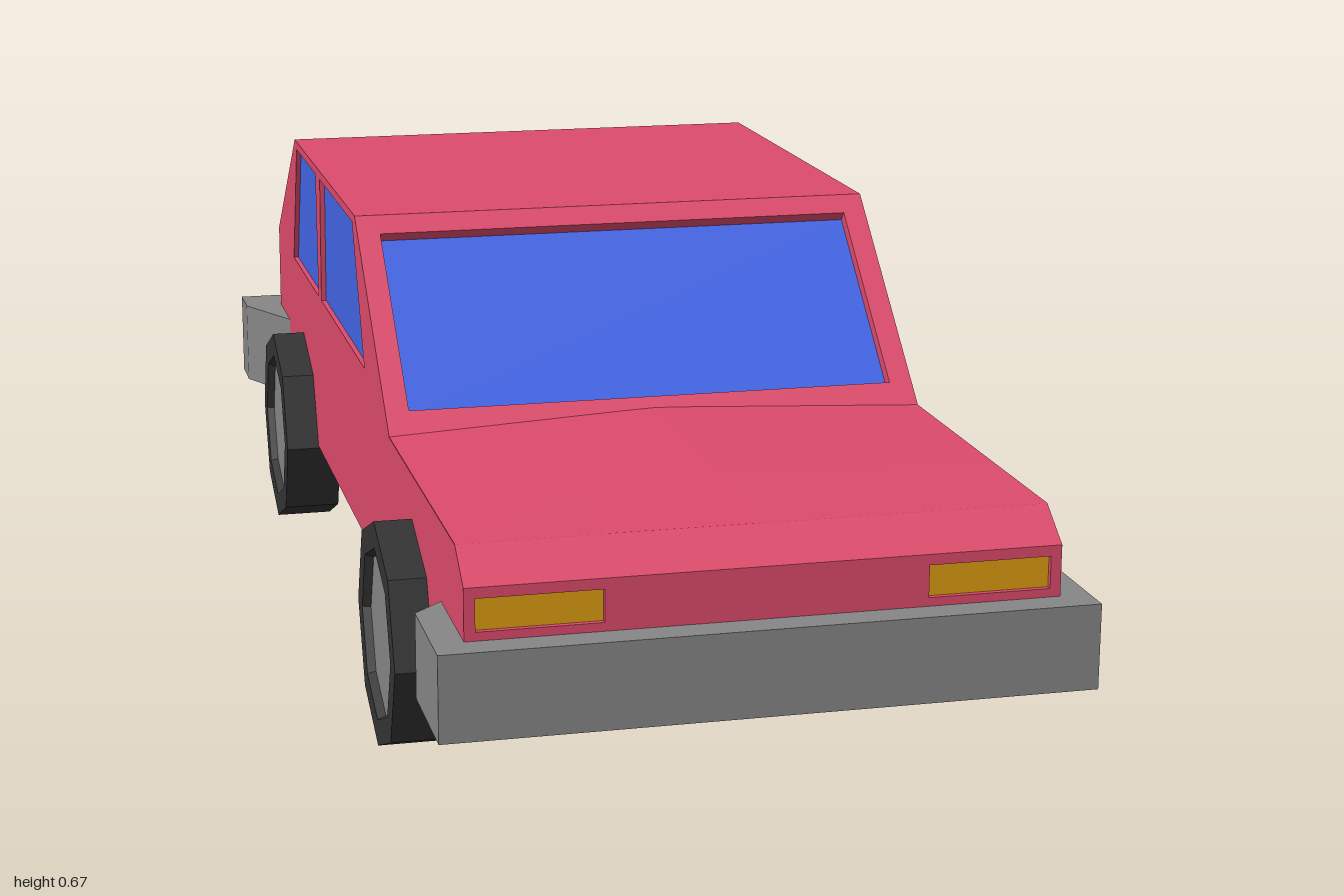
import * as THREE from 'three';

const mat = (color) => new THREE.MeshStandardMaterial({ color, flatShading: true });
const paint = mat(0xdd4b6c), glass = mat(0x4264e4), amber = mat(0xdd9c10), red = mat(0xbb1408);
const grey = mat(0x868686), rubber = mat(0x333333);

const HALF = 0.405;  // half width of the body
const SKIN = 0.01;   // thickness of the side skins

const toShape = (pts) => new THREE.Shape(pts.map(([a, b]) => new THREE.Vector2(a, b)));

function add(parent, name, geometry, material) {
  const mesh = new THREE.Mesh(geometry, material);
  mesh.name = name;
  parent.add(mesh);
  return mesh;
}

// Extrudes a side profile of [z, y] points across x, from x0 to x1
function sideExtrude(shape, x0, x1) {
  const g = new THREE.ExtrudeGeometry(shape, { depth: x1 - x0, bevelEnabled: false });
  return g.rotateY(-Math.PI / 2).translate(x1, 0, 0);
}

// A body panel rising from a to b ([z, y]), with recessed openings [x0, x1, y0, y1]
function makePanel(name, a, b, depth, facing, openings, fillName, fillMaterial) {
  const length = Math.hypot(b[0] - a[0], b[1] - a[1]);
  const up = new THREE.Vector3(0, (b[1] - a[1]) / length, (b[0] - a[0]) / length);
  const across = new THREE.Vector3(facing, 0, 0);
  const normal = across.clone().cross(up);
  const inner = ([z, y]) => [z - normal.z * depth, y - normal.y * depth];
  const start = inner(a);

  const group = new THREE.Group();
  group.name = name;
  const w = HALF - SKIN;
  const shape = toShape([[-w, 0], [w, 0], [w, length], [-w, length]]);
  for (const [x0, x1, y0, y1] of openings) {
    const s0 = (y0 - a[1]) / up.y, s1 = (y1 - a[1]) / up.y;
    shape.holes.push(toShape([[x0, s0], [x0, s1], [x1, s1], [x1, s0]]));
    const pane = add(group, fillName, new THREE.PlaneGeometry(x1 - x0, s1 - s0), fillMaterial);
    pane.position.set((x0 + x1) / 2, (s0 + s1) / 2, 0.002);
  }
  add(group, name + 'Frame', new THREE.ExtrudeGeometry(shape, { depth, bevelEnabled: false }), paint);
  group.applyMatrix4(new THREE.Matrix4().makeBasis(across, up, normal).setPosition(0, start[1], start[0]));
  // Notch that seats the panel in the core, listed from bottom to top
  return { group, notch: [a, start, inner(b), b] };
}

function makeWheel() {
  const wheel = new THREE.Group();
  wheel.name = 'wheel';
  const profile = [[0, -0.046], [0.167, -0.046], [0.167, 0.046], [0.128, 0.046], [0.122, 0.034]];
  add(wheel, 'tire', new THREE.LatheGeometry(profile.map(([r, y]) => new THREE.Vector2(r, y)), 8), rubber);
  const hub = [[0.124, 0.034], [0, 0.034]];
  add(wheel, 'hub', new THREE.LatheGeometry(hub.map(([r, y]) => new THREE.Vector2(r, y)), 8), grey);
  return wheel;
}

// Bumper from half of its plan outline ([x, z]), mirrored
function makeBumper(half, y0, y1) {
  const plan = [...half, ...half.map(([x, z]) => [-x, z]).reverse()];
  const shape = toShape(plan.map(([x, z]) => [x, -z]));
  const g = new THREE.ExtrudeGeometry(shape, { depth: y1 - y0, bevelEnabled: false });
  return g.rotateX(-Math.PI / 2).translate(0, y0, 0);
}

export function createModel() {
  const car = new THREE.Group();
  car.name = 'car';

  // Panels with recessed glass and lamps
  const pair = (x0, x1, y0, y1) => [[x0, x1, y0, y1], [-x1, -x0, y0, y1]];
  const nose = makePanel('nosePanel', [0.957, 0.17], [0.957, 0.36], 0.01, 1,
    pair(0.22, 0.39, 0.30, 0.345), 'headlight', amber);
  const windshield = makePanel('windshield', [0.369, 0.40], [0.065, 0.67], 0.02, 1,
    [[-0.37, 0.37, 0.43, 0.646]], 'windshieldGlass', glass);
  const rearWindow = makePanel('rearWindow', [-0.9, 0.4756], [-0.65, 0.67], 0.02, -1,
    [[-0.37, 0.37, 0.483, 0.645]], 'rearGlass', glass);
  const tail = makePanel('tailPanel', [-0.93, 0.17], [-0.92, 0.46], 0.01, -1,
    pair(0.225, 0.385, 0.325, 0.395), 'taillight', red);
  car.add(nose.group, windshield.group, rearWindow.group, tail.group);

  // Body core between the side skins
  const core = [...nose.notch, [0.9, 0.40], ...windshield.notch,
    ...rearWindow.notch.slice().reverse(), ...tail.notch.slice().reverse()];
  add(car, 'bodyCore', sideExtrude(toShape(core), -HALF + SKIN, HALF - SKIN), paint);

  // Side skins with window openings, and the side glass behind them
  const outline = [[0.957, 0.17], [0.957, 0.36], [0.9, 0.40], [0.369, 0.40], [0.065, 0.67],
    [-0.65, 0.67], [-0.92, 0.46], [-0.93, 0.17]];
  const windows = [
    [[0.134, 0.447], [0.035, 0.656], [-0.33, 0.656], [-0.345, 0.447]],
    [[-0.38, 0.447], [-0.384, 0.656], [-0.627, 0.656], [-0.705, 0.447]],
  ];
  for (const side of [1, -1]) {
    const skin = toShape(outline);
    skin.holes = windows.map(toShape);
    const inX = HALF - SKIN;
    add(car, 'sidePanel', sideExtrude(skin, side > 0 ? inX : -HALF, side > 0 ? HALF : -inX), paint);
    for (const w of windows) {
      const x = side * inX;
      add(car, 'sideWindow', sideExtrude(toShape(w), x - 0.002, x + 0.002), glass);
    }
  }

  // Slightly crowned hood
  const hood = new THREE.PlaneGeometry(2 * HALF, 1, 4, 2).rotateX(-Math.PI / 2);
  const p = hood.attributes.position;
  const rows = [0.352, 0.7, 0.9];
  for (let i = 0; i < p.count; i++) {
    const row = Math.floor(i / 5);
    const crown = row === 2 ? 0 : 0.016 * (1 - Math.abs(p.getX(i)) / HALF);
    p.setY(i, 0.401 + crown);
    p.setZ(i, rows[row]);
  }
  add(car, 'hood', hood, paint);

  // Bumpers wrapping round the corners
  add(car, 'frontBumper', makeBumper([[0.405, 0.79], [0.447, 0.83], [0.447, 1]], 0.168, 0.288), grey);
  add(car, 'rearBumper', makeBumper([[0.47, -1], [0.47, -0.92], [0.405, -0.79]], 0.172, 0.313), grey);

  // Wheels
  for (const side of [1, -1]) {
    for (const z of [0.56, -0.595]) {
      const wheel = makeWheel();
      wheel.rotation.z = -side * Math.PI / 2;
      wheel.position.set(side * 0.413, 0.167, z);
      car.add(wheel);
    }
  }
  return car;
}
